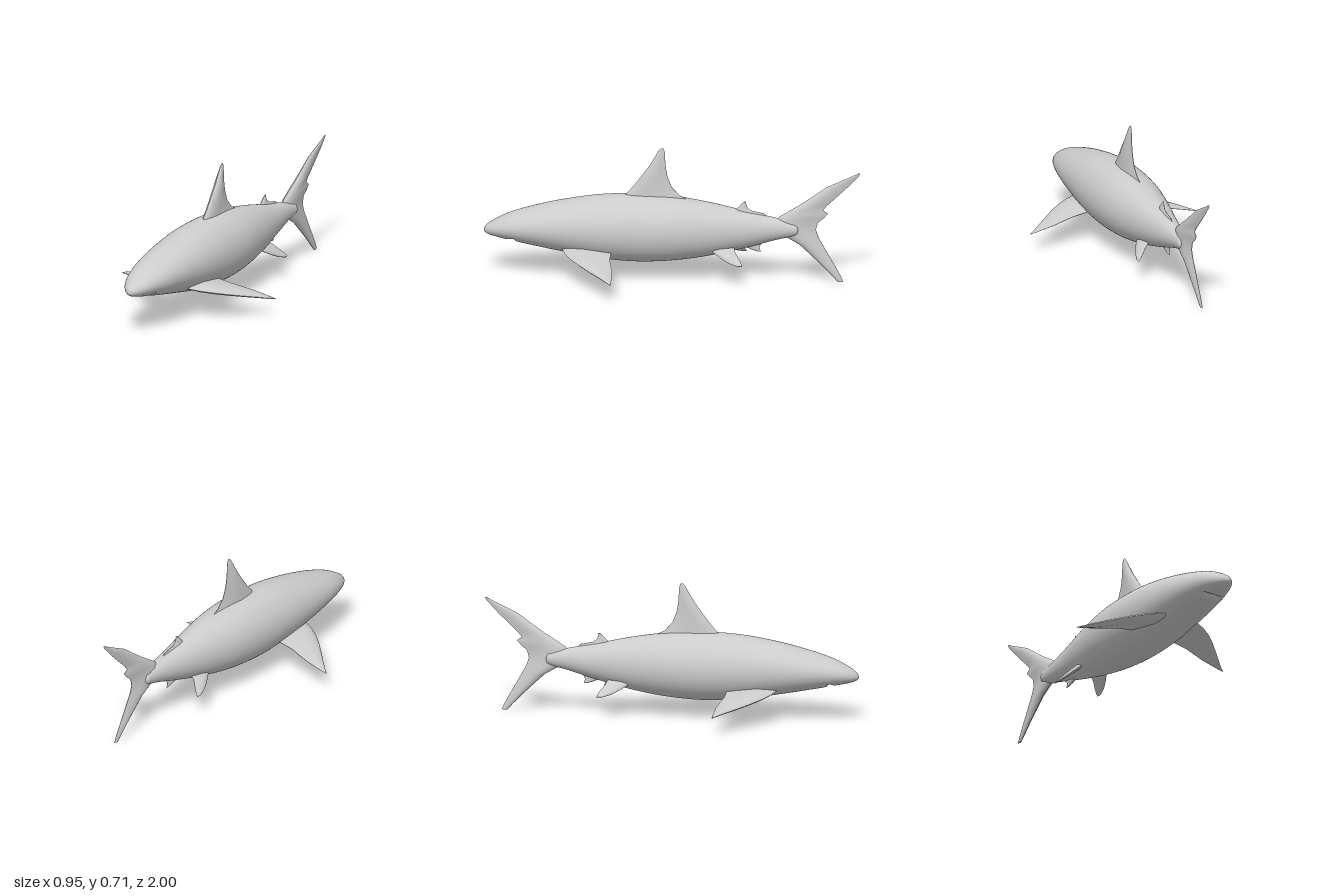
import * as THREE from 'three';
import { toCreasedNormals } from 'three/addons/utils/BufferGeometryUtils.js';

const skin = new THREE.MeshStandardMaterial({ color: 0xcccccc });
skin.name = 'grey skin';

// Joins closed rings of points into a capped surface that faces outwards.
function loft(rings) {
  const n = rings[0].length;
  const pts = rings.flat();
  let faces = [];
  for (let i = 0; i < rings.length - 1; i++) {
    for (let j = 0; j < n; j++) {
      const a = i * n + j, b = i * n + (j + 1) % n;
      faces.push([a, b, a + n], [b, b + n, a + n]);
    }
  }
  const last = (rings.length - 1) * n;
  for (let j = 1; j < n - 1; j++) {
    faces.push([0, j + 1, j], [last, last + j, last + j + 1]);
  }
  // A negative enclosed volume means the faces point inwards
  const cross = new THREE.Vector3();
  let volume = 0;
  for (const [a, b, c] of faces) volume += pts[a].dot(cross.crossVectors(pts[b], pts[c]));
  if (volume < 0) faces = faces.map(([a, b, c]) => [a, c, b]);
  const geo = new THREE.BufferGeometry().setFromPoints(pts);
  geo.setIndex(faces.flat());
  geo.computeVertexNormals();
  return geo;
}

// Lens section of a fin: [position from leading to trailing edge, thickness]
const LENS = [[0, 0], [0.06, 0.5], [0.2, 0.85], [0.4, 1], [0.7, 0.6], [1, 0.06],
  [1, -0.06], [0.7, -0.6], [0.4, -1], [0.2, -0.85], [0.06, -0.5]];

// Sections: [x, y, leading z, trailing z, half thickness]; (nx, ny) is the thickness direction
function fin(name, sections, nx = 1, ny = 0) {
  const rings = sections.map(([x, y, lead, trail, h]) => LENS.map(([t, s]) =>
    new THREE.Vector3(x + nx * s * h, y + ny * s * h, lead + (trail - lead) * t)));
  const mesh = new THREE.Mesh(toCreasedNormals(loft(rings), 0.65), skin);
  mesh.name = name;
  return mesh;
}

// Body stations: [z, half width, top y, bottom y]
const BODY = [
  [1.0, 0.002, 0.237, 0.233], [0.992, 0.02, 0.256, 0.222], [0.97, 0.043, 0.275, 0.211],
  [0.93, 0.069, 0.299, 0.201], [0.88, 0.091, 0.324, 0.191], [0.82, 0.11, 0.346, 0.179],
  [0.74, 0.129, 0.37, 0.164], [0.6, 0.15, 0.405, 0.138], [0.4, 0.168, 0.44, 0.105],
  [0.2, 0.172, 0.453, 0.09], [0, 0.16, 0.445, 0.1], [-0.2, 0.125, 0.417, 0.131],
  [-0.4, 0.08, 0.375, 0.18], [-0.55, 0.049, 0.345, 0.224], [-0.63, 0.037, 0.329, 0.243],
  [-0.66, 0.033, 0.318, 0.252], [-0.672, 0.018, 0.3, 0.268], [-0.674, 0.002, 0.286, 0.282],
];

function body() {
  const upper = new THREE.CatmullRomCurve3(
    BODY.map(([z, w, top]) => new THREE.Vector3(w, top, z)), false, 'catmullrom', 0.5);
  const lower = new THREE.CatmullRomCurve3(
    BODY.map(([z, w, , low]) => new THREE.Vector3(w, low, z)), false, 'catmullrom', 0.5);
  const steps = (BODY.length - 1) * 10, around = 72, rings = [];
  for (let i = 0; i <= steps; i++) {
    const u = upper.getPoint(i / steps), l = lower.getPoint(i / steps);
    const mid = (u.y + l.y) / 2, half = (u.y - l.y) / 2;
    const ring = [];
    for (let j = 0; j < around; j++) {
      const a = j / around * Math.PI * 2;
      const x = u.x * Math.cos(a);
      let y = mid + half * Math.sin(a);
      // Mouth: a curved groove pressed into the underside
      if (Math.sin(a) < 0) {
        const across = Math.max(0, 1 - (x / 0.08) ** 2);
        y += 0.024 * across * Math.exp(-(((u.z - 0.853 + 3 * x * x) / 0.014) ** 2));
      }
      ring.push(new THREE.Vector3(x, y, u.z));
    }
    rings.push(ring);
  }
  const mesh = new THREE.Mesh(loft(rings), skin);
  mesh.name = 'body';
  return mesh;
}

export function createModel() {
  const model = new THREE.Group();
  model.name = 'shark';
  model.add(body());

  // Upright fins on the centre line
  model.add(fin('dorsalFin', [
    [0, 0.4, 0.3, -0.11, 0.024], [0, 0.43, 0.272, -0.09, 0.024],
    [0, 0.455, 0.245, -0.04, 0.024], [0, 0.5, 0.205, 0.002, 0.024],
    [0, 0.56, 0.16, 0.025, 0.023], [0, 0.62, 0.117, 0.035, 0.019],
    [0, 0.67, 0.088, 0.037, 0.011], [0, 0.7, 0.072, 0.04, 0.005],
    [0, 0.713, 0.06, 0.046, 0.002]]));
  model.add(fin('secondDorsalFin', [
    [0, 0.345, -0.3, -0.51, 0.012], [0, 0.368, -0.325, -0.49, 0.012],
    [0, 0.382, -0.335, -0.42, 0.012], [0, 0.4, -0.352, -0.4, 0.01],
    [0, 0.42, -0.372, -0.393, 0.006], [0, 0.43, -0.385, -0.395, 0.002]]));
  model.add(fin('analFin', [
    [0, 0.225, -0.34, -0.49, 0.012], [0, 0.2, -0.36, -0.475, 0.012],
    [0, 0.18, -0.39, -0.465, 0.01], [0, 0.165, -0.425, -0.468, 0.006],
    [0, 0.157, -0.455, -0.472, 0.002]]));

  // Tail fin with a long upper lobe, a small notch and a lower lobe
  model.add(fin('tailFin', [
    [0, 0.605, -0.99, -1.0, 0.002], [0, 0.59, -0.962, -0.993, 0.004],
    [0, 0.525, -0.825, -0.932, 0.01], [0, 0.46, -0.735, -0.865, 0.015],
    [0, 0.42, -0.678, -0.823, 0.019], [0, 0.395, -0.637, -0.803, 0.021],
    [0, 0.377, -0.61, -0.828, 0.022], [0, 0.352, -0.57, -0.808, 0.023],
    [0, 0.325, -0.55, -0.775, 0.024], [0, 0.285, -0.56, -0.765, 0.024],
    [0, 0.245, -0.6, -0.778, 0.023], [0, 0.2, -0.678, -0.803, 0.02],
    [0, 0.15, -0.732, -0.831, 0.017], [0, 0.085, -0.8, -0.868, 0.012],
    [0, 0.03, -0.853, -0.898, 0.009], [0, 0, -0.88, -0.91, 0.005]]));

  // Paired fins
  for (const [side, s] of [['left', 1], ['right', -1]]) {
    model.add(fin(side + 'PectoralFin', [
      [s * 0.09, 0.172, 0.58, 0.31, 0.02], [s * 0.16, 0.16, 0.553, 0.312, 0.021],
      [s * 0.22, 0.15, 0.517, 0.31, 0.02], [s * 0.28, 0.138, 0.468, 0.298, 0.018],
      [s * 0.34, 0.125, 0.412, 0.287, 0.015], [s * 0.41, 0.111, 0.345, 0.283, 0.01],
      [s * 0.455, 0.101, 0.303, 0.282, 0.005], [s * 0.475, 0.097, 0.287, 0.282, 0.002]],
    s * 0.2, 0.98));
    model.add(fin(side + 'PelvicFin', [
      [s * 0.05, 0.205, -0.19, -0.33, 0.014], [s * 0.085, 0.17, -0.225, -0.345, 0.013],
      [s * 0.11, 0.145, -0.268, -0.367, 0.011], [s * 0.128, 0.126, -0.31, -0.38, 0.008],
      [s * 0.14, 0.113, -0.355, -0.385, 0.003]],
    s * 0.7, 0.71));
  }
  return model;
}
